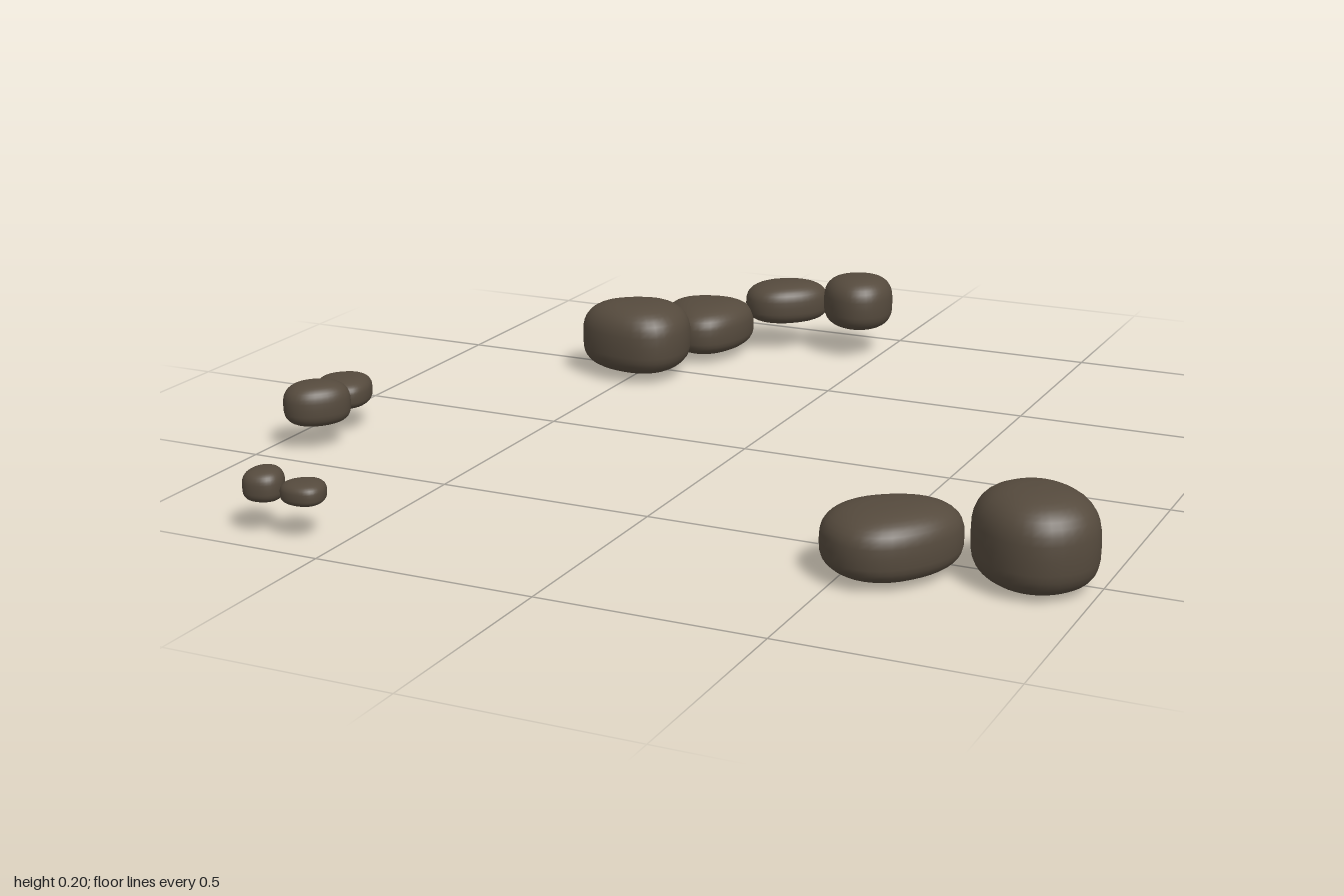
import * as THREE from 'three';

const stoneMaterial = new THREE.MeshStandardMaterial({ color: 0x554a3d });
stoneMaterial.name = 'dark brown stone';

// name, centre x, centre z, bottom, top, half length, half width, heading of narrow end (degrees from +x to +z), taper
const STONES = [
  ['backRowStone1', -0.505, -0.445, 0.015, 0.19, 0.137, 0.113, 172, 0.25],
  ['backRowStone2', -0.42, -0.687, 0.015, 0.14, 0.13, 0.112, 75, 0.25],
  ['backRowStone3', -0.258, -0.838, 0.07, 0.175, 0.108, 0.08, -37, 0.08],
  ['backRowStone4', -0.064, -0.858, 0.07, 0.205, 0.094, 0.088, 65, 0.15],
  ['leftPairRearStone', -0.928, 0.233, 0.055, 0.125, 0.075, 0.063, 50, 0.22],
  ['leftPairFrontStone', -0.906, 0.383, 0.055, 0.155, 0.077, 0.061, -45, 0.05],
  ['smallPairStone1', -0.685, 0.902, 0.07, 0.14, 0.048, 0.042, -100, 0.15],
  ['smallPairStone2', -0.59, 0.903, 0.075, 0.125, 0.048, 0.044, 160, 0.22],
  ['largePairStone1', 0.591, 0.59, 0.007, 0.15, 0.148, 0.115, -46, 0.15],
  ['largePairStone2', 0.864, 0.522, 0, 0.2, 0.137, 0.12, 40, 0],
];

// Keeps the sign while bending sine and cosine into a squarer curve
const bend = (value, power) => Math.sign(value) * Math.abs(value) ** power;

// Rounded pebble: an egg-shaped plan that shrinks towards a domed top and a flatter base
function pebble(bottom, top, halfLength, halfWidth, taper) {
  const cols = 36, rows = 20;
  const mid = bottom + (top - bottom) * 0.47;
  const positions = [], indices = [];
  for (let j = 0; j <= rows; j++) {
    const t = (j / rows - 0.5) * Math.PI;
    const power = t > 0 ? 0.72 : 0.6;
    const r = Math.max(Math.cos(t), 0) ** power;
    const y = mid + (t > 0 ? top - mid : mid - bottom) * bend(Math.sin(t), power);
    for (let i = 0; i < cols; i++) {
      const a = (i / cols) * Math.PI * 2;
      const c = bend(Math.cos(a), 0.92), s = bend(Math.sin(a), 0.92);
      positions.push(halfLength * c * r, y, halfWidth * s * (1 - taper * c) * r);
    }
  }
  for (let j = 0; j < rows; j++) {
    for (let i = 0; i < cols; i++) {
      const a = j * cols + i, b = j * cols + (i + 1) % cols;
      indices.push(a, a + cols, b, b, a + cols, b + cols);
    }
  }
  const geometry = new THREE.BufferGeometry();
  geometry.setAttribute('position', new THREE.Float32BufferAttribute(positions, 3));
  geometry.setIndex(indices);
  geometry.computeVertexNormals();
  return geometry;
}

export function createModel() {
  const group = new THREE.Group();
  group.name = 'scatteredStones';
  for (const [name, x, z, bottom, top, halfLength, halfWidth, heading, taper] of STONES) {
    const stone = new THREE.Mesh(pebble(bottom, top, halfLength, halfWidth, taper), stoneMaterial);
    stone.name = name;
    stone.position.set(x, 0, z);
    stone.rotation.y = -THREE.MathUtils.degToRad(heading);
    group.add(stone);
  }
  return group;
}
